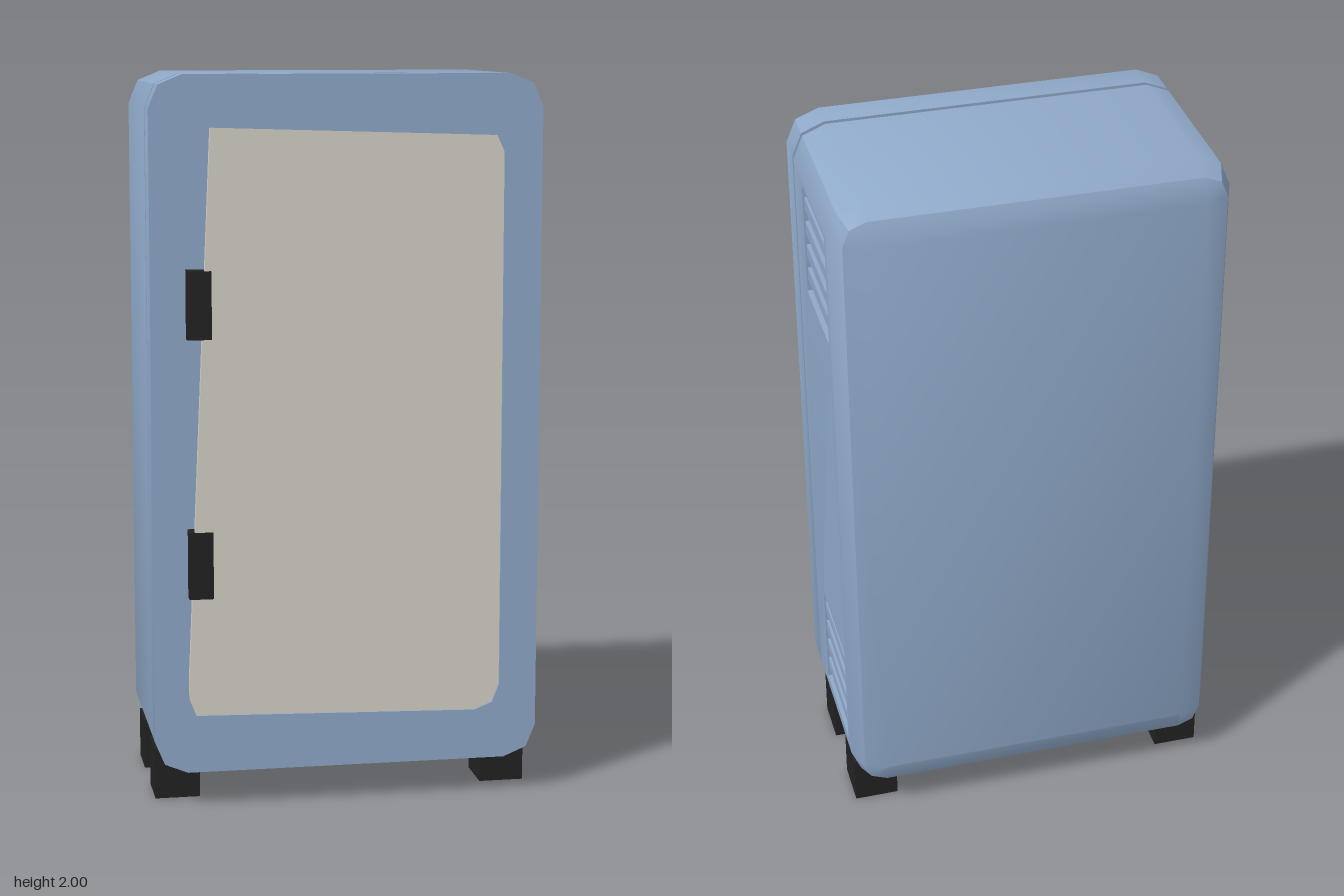
import * as THREE from 'three';
import { mergeGeometries, toCreasedNormals } from 'three/addons/utils/BufferGeometryUtils.js';

const W = 0.535, Y0 = 0.1, Y1 = 2, R = 0.09, FRONT = 0.213, BACK = -0.312;
const CREASE = 0.6;

// Cabinet outline with two-facet corners, counter-clockwise, shrunk by d
function outline(d = 0) {
  const r = Math.max(R - d, 0.004), w = W - d - r, h = (Y1 - Y0) / 2 - d - r, cy = (Y0 + Y1) / 2;
  const pts = [];
  [[1, 1], [-1, 1], [-1, -1], [1, -1]].forEach(([sx, sy], q) => {
    for (let k = 0; k < 3; k++) {
      const a = q * Math.PI / 2 + k * Math.PI / 4;
      pts.push(new THREE.Vector2(sx * w + r * Math.cos(a), cy + sy * h + r * Math.sin(a)));
    }
  });
  return pts;
}

const rect = (x0, x1, y0, y1) => [[x0, y0], [x1, y0], [x1, y1], [x0, y1]].map(p => new THREE.Vector2(...p));

// Vents on the left side: z range and y ranges
const VZ0 = -0.182, VZ1 = 0.105, VENTS = [[0.22, 0.535], [1.565, 1.885]];

function bodyGeometry() {
  const s = Math.SQRT1_2;
  const rings = [[0, FRONT], [0, BACK + R], [R * (1 - s), BACK + R * (1 - s)], [R, BACK]]
    .map(([d, z]) => outline(d).map(p => [p.x, p.y, z]));
  const pos = [];
  for (let k = 0; k < 3; k++) for (let i = 0; i < 12; i++) {
    if (k === 0 && i === 11) continue; // this wall carries the vents
    const j = (i + 1) % 12, a = rings[k][i], b = rings[k][j], c = rings[k + 1][i], d = rings[k + 1][j];
    pos.push(...a, ...c, ...b, ...b, ...c, ...d);
  }
  const shell = new THREE.BufferGeometry();
  shell.setAttribute('position', new THREE.Float32BufferAttribute(pos, 3));

  // side wall with vent openings
  const wall = new THREE.Shape(rect(-FRONT, -(BACK + R), Y0 + R, Y1 - R));
  for (const [y0, y1] of VENTS) wall.holes.push(new THREE.Path(rect(-VZ1, -VZ0, y0, y1)));
  const side = new THREE.ShapeGeometry(wall).rotateY(Math.PI / 2).translate(W, 0, 0);
  const frontCap = new THREE.ShapeGeometry(new THREE.Shape(outline())).translate(0, 0, FRONT);
  const backCap = new THREE.ShapeGeometry(new THREE.Shape(outline(R))).rotateY(Math.PI).translate(0, 0, BACK);
  const parts = [shell, side, frontCap, backCap].map(g => {
    const n = g.index ? g.toNonIndexed() : g;
    n.deleteAttribute('uv');
    n.deleteAttribute('normal');
    return n;
  });
  return toCreasedNormals(mergeGeometries(parts), CREASE);
}

export function createModel() {
  const model = new THREE.Group();
  const mat = (name, color) => {
    const m = new THREE.MeshStandardMaterial({ color });
    m.name = name;
    return m;
  };
  const blue = mat('blue paint', 0x8fa9c9);
  const beige = mat('beige panel', 0xd6d2c8);
  const black = mat('black rubber', 0x222222);
  const add = (parent, name, geo, material, x = 0, y = 0, z = 0) => {
    const m = new THREE.Mesh(geo, material);
    m.name = name;
    m.position.set(x, y, z);
    parent.add(m);
    return m;
  };

  add(model, 'cabinetBody', bodyGeometry(), blue);

  // door panel, and the opening that adds the cut corner beside it
  const panelPts = [[-0.44, 0.31], [-0.42, 0.26], [0.36, 0.24], [0.41, 0.26], [0.43, 0.31],
    [0.43, 1.79], [0.41, 1.835], [-0.37, 1.86]];
  const openingPts = [...panelPts, [-0.42, 1.84], [-0.44, 1.79]];
  const vec = list => list.map(p => new THREE.Vector2(...p));

  // front frame, held off the body by a narrow gap
  const frameShape = new THREE.Shape(outline());
  frameShape.holes.push(new THREE.Path(vec(openingPts)));
  const frame = new THREE.ExtrudeGeometry(frameShape, { depth: 0.083, bevelEnabled: false });
  add(model, 'doorFrame', toCreasedNormals(frame, CREASE), blue, 0, 0, 0.228);

  const panel = new THREE.ExtrudeGeometry(new THREE.Shape(vec(panelPts)), { depth: 0.02, bevelEnabled: false });
  add(model, 'doorPanel', panel, beige, 0, 0, 0.286);

  // hinges
  for (const y of [0.678, 1.388])
    add(model, 'hinge', new THREE.BoxGeometry(0.066, 0.184, 0.06), black, -0.403, y, 0.282);

  // louvred vents: an open recess with horizontal slats
  const depth = 0.06, zMid = (VZ0 + VZ1) / 2, zLen = VZ1 - VZ0;
  for (const [y0, y1] of VENTS) {
    const vent = new THREE.Group();
    vent.name = 'sideVent';
    model.add(vent);
    const tray = new THREE.BoxGeometry(depth, y1 - y0, zLen).scale(1, 1, -1);
    tray.setIndex([...tray.index.array].slice(6)); // leave the outer face open
    add(vent, 'ventRecess', toCreasedNormals(tray, CREASE), blue, W - depth / 2, (y0 + y1) / 2, zMid);
    const step = (y1 - y0) / 9;
    for (let i = 0; i < 4; i++)
      add(vent, 'ventSlat', new THREE.BoxGeometry(depth - 0.004, step, zLen), blue,
        W - depth / 2 - 0.002, y0 + step * (2 * i + 1.5), zMid);
  }

  // feet
  for (const x of [-0.463, 0.463]) for (const z of [-0.146, 0.146])
    add(model, 'foot', new THREE.BoxGeometry(0.125, 0.142, 0.133), black, x, 0.071, z);

  return model;
}
